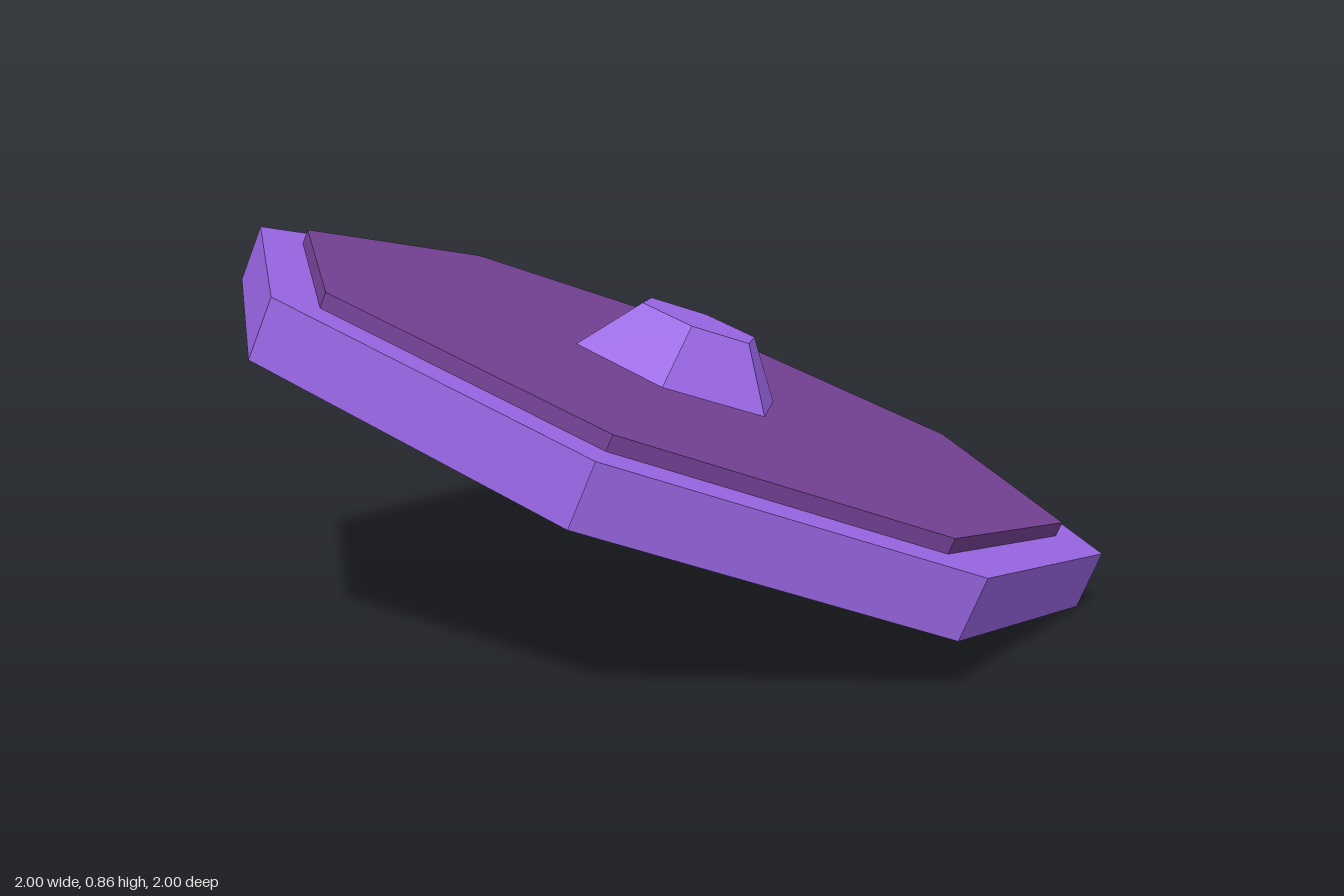
import * as THREE from 'three';

// Sheared, tilted frame: two in-plane radii, one thickness direction, base centre.
const FRAME = new THREE.Matrix4()
  .makeBasis(
    new THREE.Vector3(0.982, -0.26, 0.0175),
    new THREE.Vector3(0.037, 0.127, 0.037),
    new THREE.Vector3(0.0175, -0.26, 0.982))
  .setPosition(-0.0195, 0.37, -0.0195);

// Faceted prism from bottom to top (in disc thicknesses), carried into the tilted frame.
function prism(name, material, topRadius, baseRadius, bottom, top, sides, turn = 0) {
  const geometry = new THREE.CylinderGeometry(topRadius, baseRadius, top - bottom, sides, 1, false, turn)
    .translate(0, (top + bottom) / 2, 0)
    .applyMatrix4(FRAME)
    .toNonIndexed();
  geometry.computeVertexNormals();
  const mesh = new THREE.Mesh(geometry, material);
  mesh.name = name;
  return mesh;
}

export function createModel() {
  const violet = new THREE.MeshStandardMaterial({ color: 0x9966e4 });
  violet.name = 'violet';
  const darkPurple = new THREE.MeshStandardMaterial({ color: 0x734194 });
  darkPurple.name = 'dark purple';

  const model = new THREE.Group();
  model.name = 'tiltedDisc';
  model.add(
    // Octagonal body with a visible rim
    prism('disc', violet, 1, 1, 0, 1, 8),
    // Thin inset plate on top
    prism('topPlate', darkPurple, 0.895, 0.895, 1, 1.25, 8),
    // Six-sided tapered knob
    prism('knob', violet, 0.142, 0.25, 1.25, 2.24, 6, Math.PI / 12));
  return model;
}
